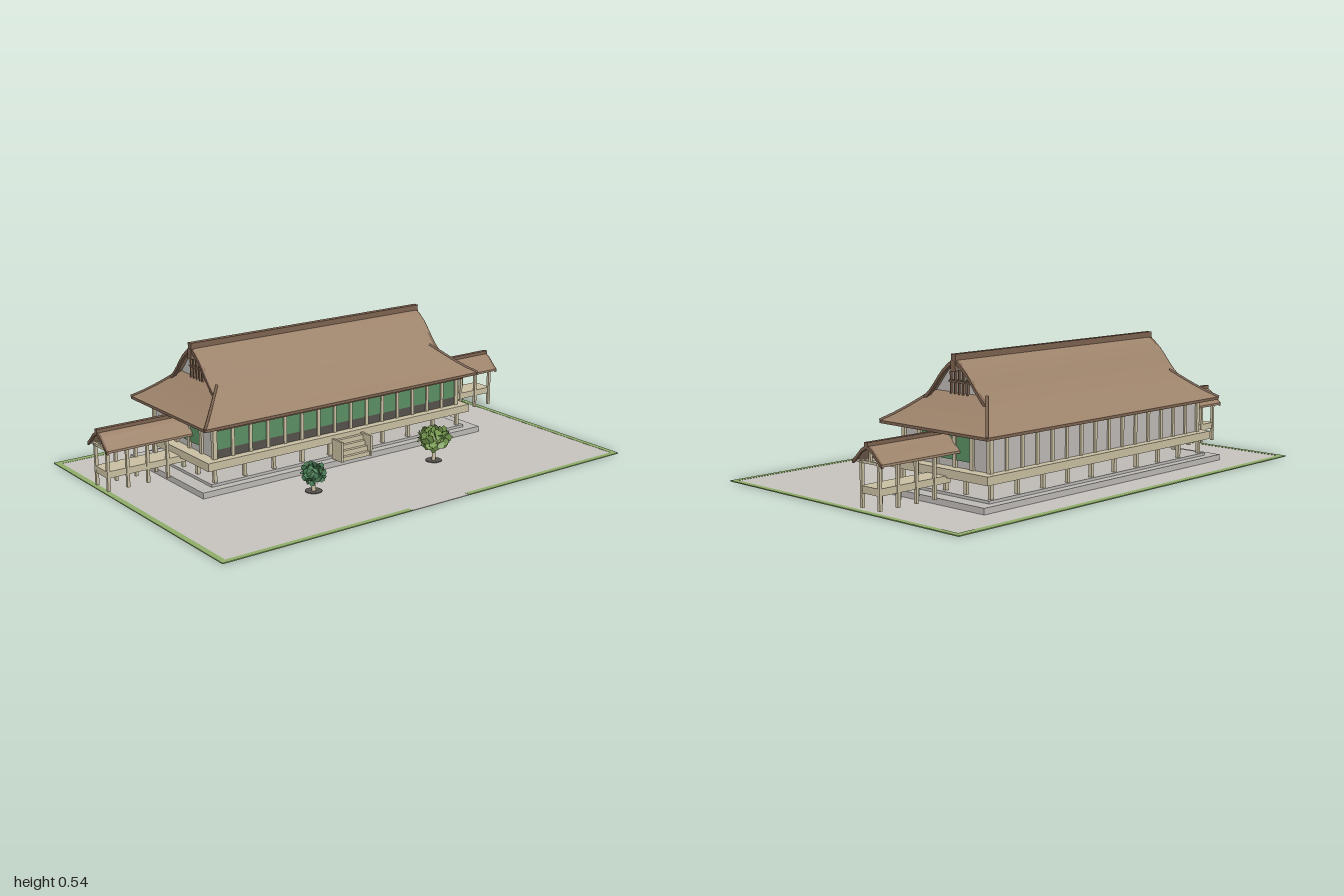
import * as THREE from 'three';

const mat = (name, hex, double) => {
  const m = new THREE.MeshStandardMaterial({ color: hex });
  m.name = name;
  if (double) m.side = THREE.DoubleSide;
  return m;
};

export function createModel() {
  const M = {
    roof: mat('roof bark', 0x9c826a, true),
    ridge: mat('ridge wood', 0x7d6350, true),
    timber: mat('pale timber', 0xc9bfa2),
    stone: mat('stone', 0xbdbab6),
    gravel: mat('gravel', 0xc6c3bf),
    grass: mat('grass', 0x8fae6a),
    shutter: mat('green shutter', 0x5a8f62),
    dark: mat('dark board', 0x55514c),
    leafLight: mat('light leaves', 0x76994f, true),
    leafDark: mat('dark leaves', 0x4a7d55, true),
  };
  const root = new THREE.Group();
  root.name = 'hall';
  const ZC = -0.21; // centre line of the hall

  const add = (name, geo, m, parent = root) => {
    const mesh = new THREE.Mesh(geo, m);
    mesh.name = name;
    parent.add(mesh);
    return mesh;
  };
  // box given by its min and max on each axis
  const box = (name, m, x0, x1, y0, y1, z0, z1, parent) => {
    const g = new THREE.BoxGeometry(x1 - x0, y1 - y0, z1 - z0);
    g.translate((x0 + x1) / 2, (y0 + y1) / 2, (z0 + z1) / 2);
    return add(name, g, m, parent);
  };
  // surface through equal rows of points
  const loft = (rows) => {
    const n = rows[0].length, idx = [];
    for (let i = 0; i < rows.length - 1; i++)
      for (let j = 0; j < n - 1; j++) {
        const a = i * n + j;
        idx.push(a, a + 1, a + n, a + 1, a + n + 1, a + n);
      }
    const g = new THREE.BufferGeometry();
    g.setAttribute('position', new THREE.Float32BufferAttribute(rows.flat(2), 3));
    g.setIndex(idx);
    g.computeVertexNormals();
    return g;
  };
  // outline in z and y, extruded along x from x0 to x1
  const extrudeX = (pts, x0, x1) => {
    const s = new THREE.Shape(pts.map(([z, y]) => new THREE.Vector2(-z, y)));
    const g = new THREE.ExtrudeGeometry(s, { depth: x1 - x0, bevelEnabled: false });
    g.rotateY(Math.PI / 2);
    return g.translate(x0, 0, ZC);
  };
  // closed arch of even depth that follows half a roof profile [z, y], mirrored
  const arch = (half, depth) => {
    const top = [...half.map(([z, y]) => [-z, y]), ...half.slice(0, -1).reverse()];
    return [...top, ...top.slice().reverse().map(([z, y]) => [z, y - depth])];
  };

  // Ground with grass edging
  box('ground', M.gravel, -0.955, 0.955, 0, 0.003, -0.625, 0.625);
  for (const s of [-1, 1]) {
    const a = s < 0 ? -0.977 : 0.953;
    box('sideGrass', M.grass, a, a + 0.024, 0, 0.004, -0.65, 0.646);
    const b = s < 0 ? -0.955 : 0.14;
    box('frontGrass', M.grass, b, b + 0.815, 0, 0.004, 0.624, 0.646);
  }
  box('frontGravel', M.gravel, -0.14, 0.14, 0, 0.003, 0.624, 0.646);
  box('backGrass', M.grass, -0.955, 0.955, 0, 0.004, -0.65, -0.622);

  // Stone base and veranda
  box('lowerBase', M.stone, -0.705, 0.705, 0.003, 0.027, ZC - 0.287, ZC + 0.287);
  box('upperBase', M.stone, -0.645, 0.645, 0.027, 0.038, ZC - 0.252, ZC + 0.252);
  box('veranda', M.timber, -0.665, 0.665, 0.097, 0.13, ZC - 0.265, ZC + 0.265);
  for (let i = 0; i < 10; i++) {
    const x = -0.62 + (i * 1.24) / 9;
    for (const z of [-0.235, 0.235])
      box('stilt', M.timber, x - 0.007, x + 0.007, 0.036, 0.098, ZC + z - 0.007, ZC + z + 0.007);
  }
  for (const x of [-0.62, 0.62])
    for (const z of [-0.11, 0, 0.11])
      box('stilt', M.timber, x - 0.007, x + 0.007, 0.036, 0.098, ZC + z - 0.007, ZC + z + 0.007);

  // Walls, shutters and posts
  const W = 0.615, D = 0.228, zF = ZC + D, zB = ZC - D;
  box('walls', M.stone, -W, W, 0.13, 0.266, zB, zF);
  box('frontShutters', M.shutter, -W, W, 0.165, 0.252, zF, zF + 0.003);
  box('frontBoards', M.dark, -W, W, 0.13, 0.165, zF, zF + 0.003);
  for (let i = 0; i <= 15; i++) {
    const x = -W + (i * 2 * W) / 15;
    for (const z of [zF, zB])
      box('wallPost', M.timber, x - 0.007, x + 0.007, 0.13, 0.266, z - 0.007, z + 0.009);
  }
  for (const z of [zF, zB]) box('lintel', M.timber, -W, W, 0.252, 0.264, z - 0.006, z + 0.006);
  box('frontCanopy', M.ridge, -0.62, 0.62, 0.252, 0.265, zF + 0.006, 0.055);
  for (const s of [-1, 1]) {
    const x = s * W;
    box('sideShutter', M.shutter, x - 0.004, x + 0.004, 0.157, 0.258, ZC - 0.128, ZC + 0.128);
    for (const z of [-D, -0.14, -0.05, 0.05, 0.14, D])
      box('sidePost', M.timber, x - 0.009, x + 0.009, 0.13, 0.266, ZC + z - 0.009, ZC + z + 0.009);
  }

  // Front steps with cheek boards
  const steps = new THREE.Group();
  steps.name = 'steps';
  root.add(steps);
  for (let i = 0; i < 4; i++)
    box('step', M.timber, -0.07, 0.07, 0.032, 0.05 + i * 0.02, 0.1 - i * 0.015, 0.115 - i * 0.015, steps);
  for (const s of [-1, 1])
    box('cheek', M.timber, s * 0.074 - 0.005, s * 0.074 + 0.005, 0.032, 0.117, 0.055, 0.12, steps);

  // Main roof: t is the distance in from the eave
  const EX = 0.69, EZ = 0.287, GX = 0.57;
  const profile = [[0, 0.275], [0.04, 0.301], [0.08, 0.332], [0.12, 0.366], [0.15, 0.392],
    [0.177, 0.422], [0.2, 0.45], [0.225, 0.478], [0.255, 0.503], [EZ, 0.524]];
  for (const s of [-1, 1]) {
    const slope = profile.map(([t, y]) => {
      const x = Math.max(GX, EX - t), z = ZC + s * (EZ - t);
      return [[-x, y, z], [x, y, z]];
    });
    add('mainSlope', loft(slope), M.roof);
    const skirt = profile.slice(0, 5).map(([t, y]) =>
      [[s * (EX - t), y, ZC - EZ + t], [s * (EX - t), y, ZC + EZ - t]]);
    add('sideSkirt', loft(skirt), M.roof);
    for (const q of [-1, 1]) {
      const path = new THREE.CatmullRomCurve3(profile.slice(0, 5).map(([t, y]) =>
        new THREE.Vector3(s * (EX - t), y, ZC + q * (EZ - t))));
      add('hipRidge', new THREE.TubeGeometry(path, 8, 0.006, 5), M.ridge);
    }
  }
  box('eave', M.ridge, -EX, EX, 0.264, 0.2755, ZC - EZ, ZC + EZ);
  box('mainRidge', M.ridge, -0.577, 0.577, 0.517, 0.54, ZC - 0.012, ZC + 0.012);

  // Gables with lattice and curved barge boards
  const upper = profile.slice(3).map(([t, y]) => [EZ - t, y]);
  const wallHalf = profile.slice(4).map(([t, y]) => [EZ - t, y - 0.004]);
  const wallOutline = [...wallHalf.map(([z, y]) => [-z, y]), ...wallHalf.slice(0, -1).reverse()];
  for (const s of [-1, 1]) {
    const gable = new THREE.Group();
    gable.name = 'gable';
    root.add(gable);
    const at = (a, b) => (s > 0 ? [a, b] : [-b, -a]);
    add('gableWall', extrudeX(wallOutline, ...at(0.53, 0.538)), M.stone, gable);
    add('bargeBoard', extrudeX(arch(upper, 0.016), ...at(0.56, 0.575)), M.ridge, gable);
    box('gableShutter', M.shutter, ...at(0.538, 0.542), 0.428, 0.44, ZC - 0.058, ZC + 0.058, gable);
    box('latticeBar', M.ridge, ...at(0.542, 0.552), 0.43, 0.437, ZC - 0.052, ZC + 0.052, gable);
    for (let i = -2; i <= 2; i++)
      box('latticePost', M.ridge, ...at(0.54, 0.55), 0.386, 0.478 - Math.abs(i) * 0.004,
        ZC + i * 0.022 - 0.003, ZC + i * 0.022 + 0.003, gable);
    box('pendant', M.ridge, ...at(0.562, 0.579), 0.474, 0.517, ZC - 0.013, ZC + 0.013, gable);
  }

  // Side corridors
  const small = [[0.078, 0.195], [0.055, 0.215], [0.03, 0.24], [0, 0.257]];
  for (const s of [-1, 1]) {
    const c = new THREE.Group();
    c.name = 'corridor';
    root.add(c);
    const at = (a, b) => (s > 0 ? [a, b] : [-b, -a]);
    add('corridorRoof', extrudeX(arch(small, 0.009), ...at(0.62, 0.99)), M.roof, c);
    add('corridorBarge', extrudeX(arch(small, 0.014), ...at(0.988, 0.998)), M.ridge, c);
    box('corridorRidge', M.ridge, ...at(0.62, 1), 0.25, 0.266, ZC - 0.009, ZC + 0.009, c);
    box('corridorFloor', M.timber, ...at(0.64, 0.985), 0.077, 0.104, ZC - 0.05, ZC + 0.05, c);
    for (const z of [-0.047, 0.047])
      box('corridorBeam', M.timber, ...at(0.62, 0.988), 0.185, 0.196, ZC + z - 0.005, ZC + z + 0.005, c);
    for (const x of [0.72, 0.808, 0.896, 0.98]) {
      for (const z of [-0.047, 0.047])
        box('corridorPost', M.timber, ...at(x - 0.006, x + 0.006), 0.024, 0.19, ZC + z - 0.006, ZC + z + 0.006, c);
      box('crossBeam', M.timber, ...at(x - 0.005, x + 0.005), 0.186, 0.196, ZC - 0.07, ZC + 0.07, c);
    }
    box('kingPost', M.timber, ...at(0.975, 0.985), 0.19, 0.25, ZC - 0.005, ZC + 0.005, c);
  }

  // Trees: facetted leaf clumps around a core
  let seed = 7;
  const rnd = () => (seed = (seed * 16807) % 2147483647) / 2147483647;
  const tree = (x, z, yc, r, ry, leaf) => {
    const t = new THREE.Group();
    t.name = 'tree';
    t.position.set(x, 0, z);
    root.add(t);
    add('trunk', new THREE.CylinderGeometry(0.006, 0.009, yc, 7).translate(0, yc / 2, 0), M.timber, t);
    add('plantingBed', new THREE.CylinderGeometry(0.034, 0.034, 0.003, 20).translate(0, 0.004, 0), M.dark, t);
    const core = new THREE.IcosahedronGeometry(1, 1).scale(r * 0.72, ry * 0.72, r * 0.72);
    add('foliageCore', core.translate(0, yc, 0), leaf, t);
    for (let i = 0; i < 60; i++) {
      const h = 1 - (2 * (i + 0.5)) / 60, a = i * 2.4, w = Math.sqrt(1 - h * h);
      const k = 0.65 + rnd() * 0.22;
      const m = add('leaf', new THREE.CircleGeometry(r * 0.26, 5), leaf, t);
      m.position.set(Math.cos(a) * w * r * k, yc + h * ry * k, Math.sin(a) * w * r * k);
      m.rotation.set(rnd() * 6, rnd() * 6, rnd() * 6);
    }
  };
  tree(-0.315, 0.255, 0.077, 0.053, 0.045, M.leafDark);
  tree(0.295, 0.255, 0.1, 0.073, 0.054, M.leafLight);

  return root;
}
